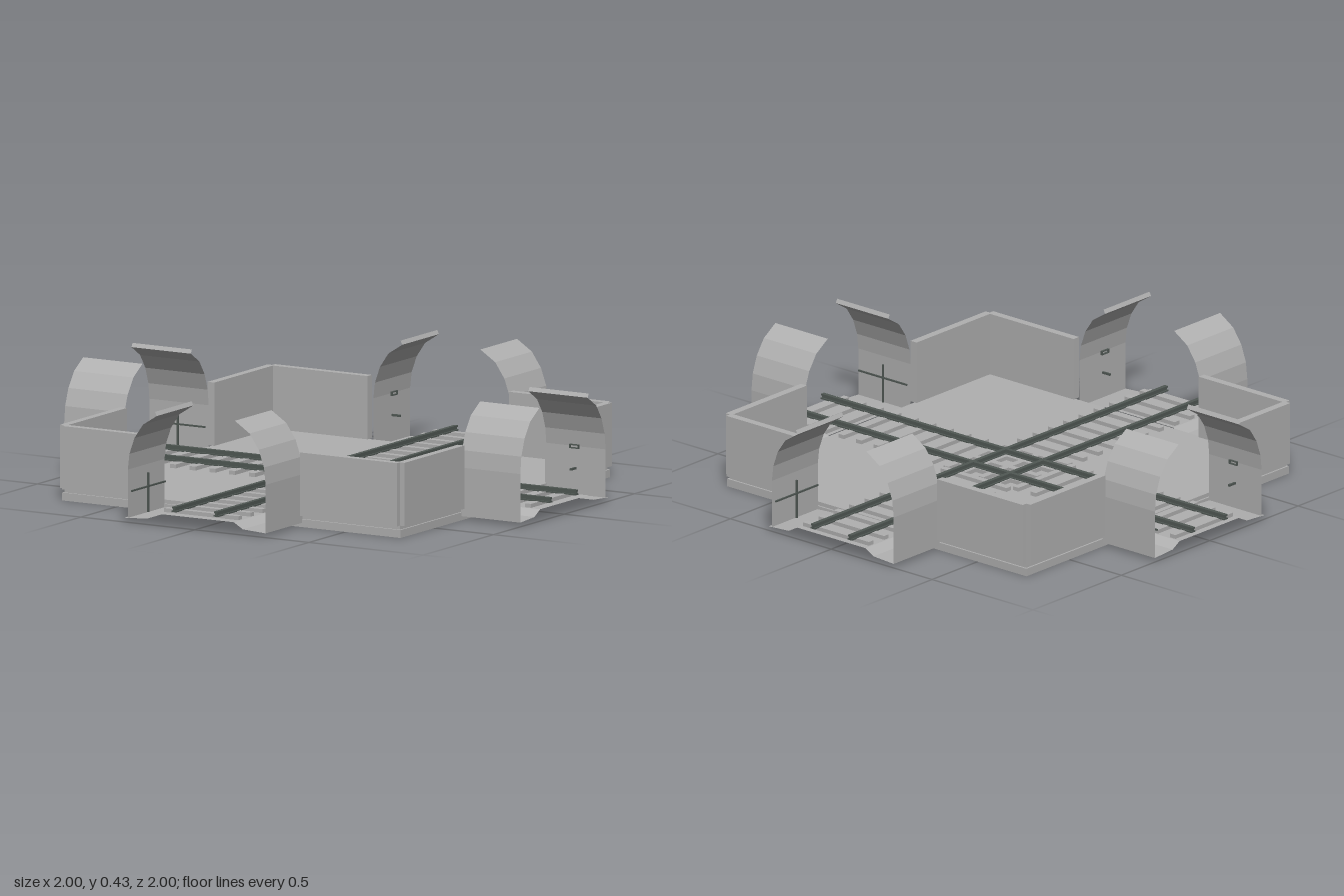
import * as THREE from 'three';

const concrete = new THREE.MeshStandardMaterial({ color: 0xb0b0b0 });
concrete.name = 'concrete grey';
const steel = new THREE.MeshStandardMaterial({ color: 0x505854 });
steel.name = 'dark steel';

function add(parent, name, geometry, material) {
  const mesh = new THREE.Mesh(geometry, material);
  mesh.name = name;
  parent.add(mesh);
  return mesh;
}

// box given by its min and max corners
function box(parent, name, material, [x0, y0, z0], [x1, y1, z1]) {
  const g = new THREE.BoxGeometry(x1 - x0, y1 - y0, z1 - z0);
  g.translate((x0 + x1) / 2, (y0 + y1) / 2, (z0 + z1) / 2);
  return add(parent, name, g, material);
}

// open-ended strip: sweeps a profile in x,y along z, facing to the right of its direction
function strip(points, z0, z1) {
  const pos = [];
  for (let i = 0; i + 1 < points.length; i++) {
    const [a, b] = [points[i], points[i + 1]];
    pos.push(...a, z0, ...b, z0, ...b, z1, ...a, z0, ...b, z1, ...a, z1);
  }
  const g = new THREE.BufferGeometry();
  g.setAttribute('position', new THREE.Float32BufferAttribute(pos, 3));
  g.computeVertexNormals();
  return g;
}

// curved tunnel wall: outside, tip, then inside
const SHELL = [
  [0.31, 0.016], [0.31, 0.2], [0.303, 0.265], [0.28, 0.33], [0.24, 0.388], [0.175, 0.43],
  [0.167, 0.415], [0.228, 0.376], [0.265, 0.322], [0.287, 0.26], [0.294, 0.2], [0.294, 0.016],
];
// tunnel floor with a raised bed in the middle, and its flat underside
const FLOOR = [
  [0.31, 0.016], [0.21, 0.022], [0.17, 0.045], [-0.17, 0.045], [-0.21, 0.022], [-0.31, 0.016], [0.31, 0.016],
];

function tunnelMouth() {
  const g = new THREE.Group();
  const mirrored = SHELL.map(([x, y]) => [-x, y]).reverse();
  add(g, 'tunnelWallLeft', strip(SHELL, 0.74, 1), concrete);
  add(g, 'tunnelWallRight', strip(mirrored, 0.74, 1), concrete);
  add(g, 'tunnelFloor', strip(FLOOR, 0.74, 1), concrete);

  // cable and post on one wall
  box(g, 'wallPost', steel, [-0.288, 0.02, 0.867], [-0.282, 0.17, 0.873]);
  box(g, 'wallCable', steel, [-0.287, 0.115, 0.75], [-0.281, 0.121, 0.99]);
  // bracket frame and peg on the other wall
  for (const y of [0.193, 0.205]) box(g, 'bracketBar', steel, [0.278, y, 0.85], [0.286, y + 0.004, 0.89]);
  for (const z of [0.85, 0.886]) box(g, 'bracketEnd', steel, [0.278, 0.193, z], [0.286, 0.209, z + 0.004]);
  box(g, 'wallPeg', steel, [0.255, 0.113, 0.866], [0.292, 0.121, 0.874]);
  return g;
}

// low corner wall with a notched outer corner
function cornerWall() {
  const outline = [
    [0.31, 0.755], [0.735, 0.755], [0.735, 0.735], [0.755, 0.735],
    [0.755, 0.31], [0.725, 0.31], [0.725, 0.725], [0.31, 0.725],
  ].map(([x, z]) => new THREE.Vector2(x, -z));
  const g = new THREE.ExtrudeGeometry(new THREE.Shape(outline), { depth: 0.24, bevelEnabled: false });
  g.rotateX(-Math.PI / 2);
  g.translate(0, 0.045, 0);
  return g;
}

function track() {
  const g = new THREE.Group();
  for (let i = 0; i < 23; i++) {
    const z = -0.96 + i * 0.0865;
    box(g, 'sleeper', concrete, [-0.163, 0.04, z - 0.013], [0.163, 0.06, z + 0.013]);
  }
  // rails: foot, web and head
  for (const x of [-0.092, 0.092]) {
    box(g, 'railFoot', steel, [x - 0.011, 0.058, -1], [x + 0.011, 0.063, 1]);
    box(g, 'railWeb', steel, [x - 0.004, 0.063, -1], [x + 0.004, 0.071, 1]);
    box(g, 'railHead', steel, [x - 0.008, 0.071, -1], [x + 0.008, 0.078, 1]);
  }
  return g;
}

export function createModel() {
  const model = new THREE.Group();
  model.name = 'railCrossing';

  // base in two layers
  box(model, 'baseSlab', concrete, [-0.742, 0, -0.742], [0.742, 0.03, 0.742]);
  box(model, 'floorSlab', concrete, [-0.735, 0.03, -0.735], [0.735, 0.045, 0.735]);

  // four identical sides and corners
  for (let i = 0; i < 4; i++) {
    const mouth = tunnelMouth();
    mouth.name = 'tunnelMouth' + (i + 1);
    mouth.rotation.y = (i * Math.PI) / 2;
    model.add(mouth);
    const wall = add(model, 'cornerWall' + (i + 1), cornerWall(), concrete);
    wall.rotation.y = (i * Math.PI) / 2;
  }

  // two crossing tracks
  for (let i = 0; i < 2; i++) {
    const t = track();
    t.name = i ? 'crossTrack' : 'mainTrack';
    t.rotation.y = (i * Math.PI) / 2;
    if (i) t.scale.z = 1;
    model.add(t);
  }
  return model;
}
